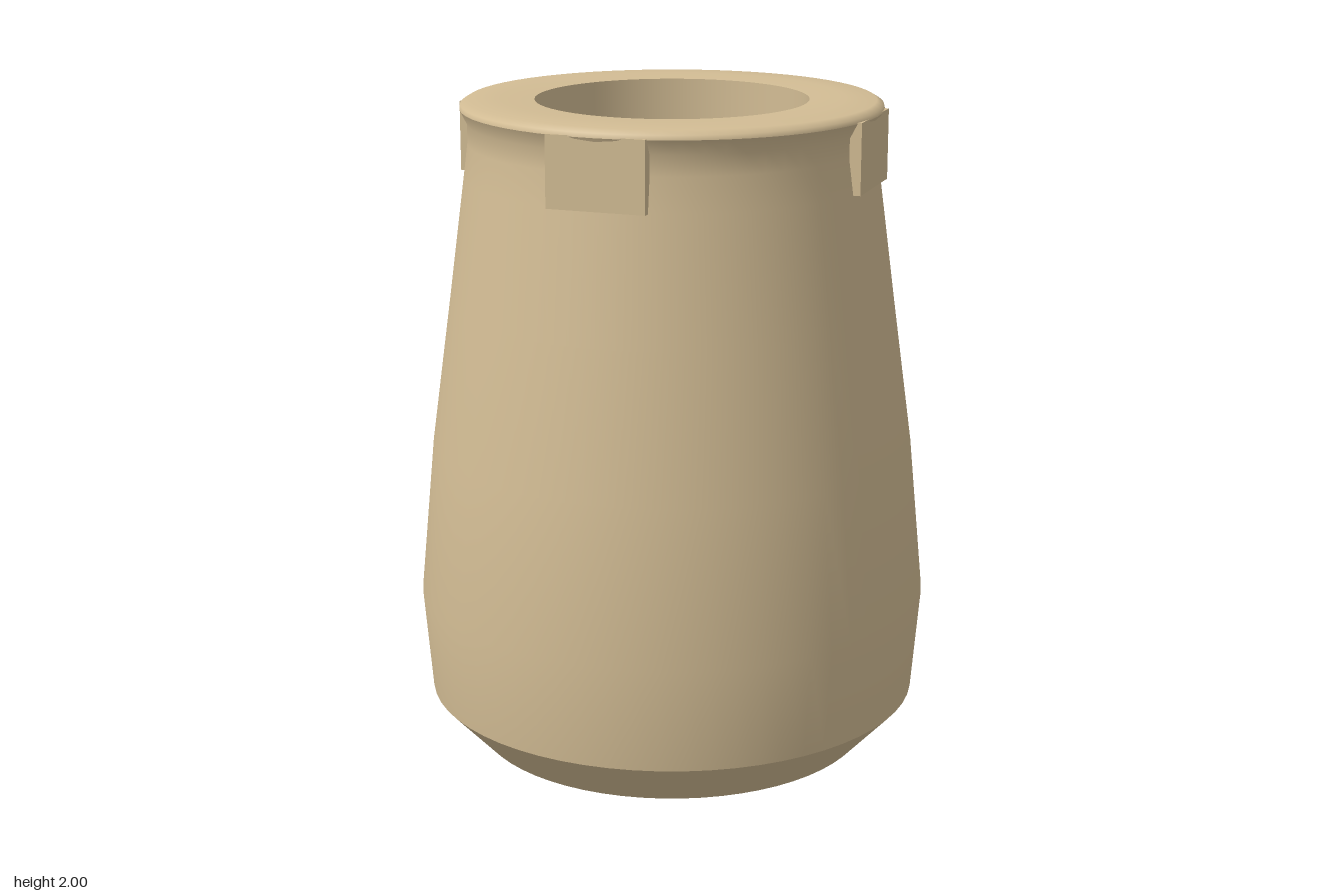
import * as THREE from 'three';

const SEGMENTS = 64;

export function createModel() {
  const group = new THREE.Group();
  const material = new THREE.MeshStandardMaterial({ color: 0xd2bc94, side: THREE.DoubleSide });

  // Each section is its own lathe, so the edges between sections stay sharp.
  const turned = (name, profile) => {
    const points = profile.map(([r, y]) => new THREE.Vector2(r, y));
    const mesh = new THREE.Mesh(new THREE.LatheGeometry(points, SEGMENTS), material);
    mesh.name = name;
    group.add(mesh);
  };

  // Underside, from the central dimple out to the chamfer
  turned('baseDimple', [[0, 0.1], [0.15, 0.03]]);
  turned('baseDisc', [[0.15, 0.03], [0.37, 0]]);
  turned('baseSlope', [[0.37, 0], [0.6, 0.05]]);
  turned('baseChamfer', [[0.6, 0.05], [0.74, 0.2]]);

  // Bulging wall that narrows to the neck and flares into the lip
  turned('body', [
    [0.74, 0.2], [0.765, 0.51], [0.72, 0.97], [0.66, 1.4],
    [0.61, 1.77], [0.597, 1.87], [0.597, 1.93], [0.618, 1.972],
  ]);
  turned('rim', [[0.618, 1.972], [0.615, 1.985], [0.595, 1.997], [0.5, 2], [0.4, 1.995]]);

  // Shallow recess in the top
  turned('recessWall', [[0.4, 1.995], [0.4, 1.85]]);
  turned('recessFloor', [[0.4, 1.85], [0.085, 1.91]]);
  turned('recessDimple', [[0.085, 1.91], [0, 1.85]]);

  // Four flat tabs below the lip
  for (let i = 0; i < 4; i++) {
    const pivot = new THREE.Group();
    pivot.name = 'tab';
    pivot.rotation.y = i * Math.PI / 2;
    const tab = new THREE.Mesh(new THREE.BoxGeometry(0.29, 0.205, 0.055), material);
    tab.name = 'tabPlate';
    tab.position.set(0, 1.8725, 0.585);
    pivot.add(tab);
    group.add(pivot);
  }

  return group;
}
